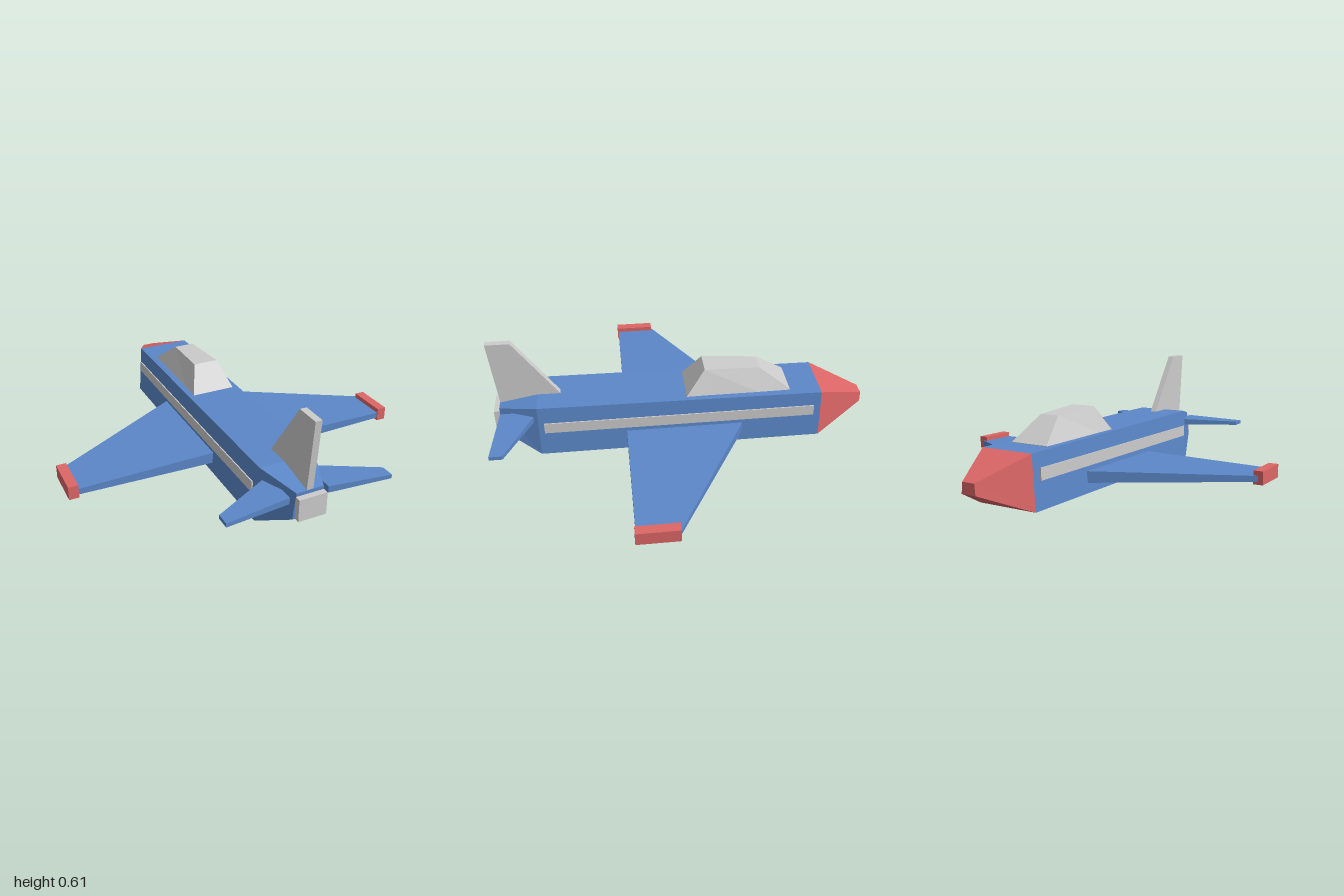
import * as THREE from 'three';

const paint = (name, color) => {
  const m = new THREE.MeshStandardMaterial({ color });
  m.name = name;
  return m;
};

// Flat-faced solid lofted through four-cornered rings, with both ends capped
function loft(rings) {
  const pos = [];
  const quad = (a, b, c, d) => pos.push(...a, ...b, ...c, ...a, ...c, ...d);
  for (let r = 0; r < rings.length - 1; r++) {
    const a = rings[r], b = rings[r + 1];
    for (let i = 0; i < 4; i++) {
      const j = (i + 1) % 4;
      quad(a[i], a[j], b[j], b[i]);
    }
  }
  quad(...[...rings[0]].reverse());
  quad(...rings[rings.length - 1]);
  const g = new THREE.BufferGeometry();
  g.setAttribute('position', new THREE.Float32BufferAttribute(pos, 3));
  g.computeVertexNormals();
  return g;
}

// Trapezoid across the body at z: bottom height and half width, top height and half width
const bodyRing = (z, yb, hb, yt, ht) => [[-hb, yb, z], [hb, yb, z], [ht, yt, z], [-ht, yt, z]];

// Rectangle across a wing at x: leading and trailing z, bottom and top y
const wingRing = (x, zf, zb, y0, y1) => [[x, y0, zb], [x, y0, zf], [x, y1, zf], [x, y1, zb]];

// Mirrored rings run in reverse order so faces still point outward
const wing = (rings, side) => {
  const r = rings.map(ring => ring.map(([x, y, z]) => [x * side, y, z]));
  return loft(side > 0 ? r : r.reverse());
};

export function createModel() {
  const blue = paint('blue', 0x5b87c8);
  const red = paint('red', 0xdd6666);
  const grey = paint('light grey', 0xcccccc);

  const model = new THREE.Group();
  model.name = 'jet';
  const add = (name, geometry, material) => {
    const mesh = new THREE.Mesh(geometry, material);
    mesh.name = name;
    model.add(mesh);
    return mesh;
  };
  const addBox = (name, material, w, h, d, x, y, z) =>
    add(name, new THREE.BoxGeometry(w, h, d), material).position.set(x, y, z);

  // Body, nose cone and exhaust
  const noseBase = bodyRing(-0.74, 0, 0.165, 0.27, 0.145);
  add('fuselage', loft([
    noseBase,
    bodyRing(0.77, 0, 0.165, 0.287, 0.145),
    bodyRing(0.97, 0.115, 0.085, 0.25, 0.07),
  ]), blue);
  add('nose', loft([bodyRing(-1, 0.115, 0.04, 0.17, 0.035), noseBase]), red);
  addBox('exhaust', grey, 0.145, 0.115, 0.05, 0, 0.175, 0.975);

  // Canopy
  add('canopy', loft([
    bodyRing(-0.575, 0.27, 0.105, 0.274, 0.104),
    bodyRing(-0.41, 0.27, 0.11, 0.395, 0.053),
    bodyRing(-0.115, 0.27, 0.115, 0.41, 0.066),
    bodyRing(-0.015, 0.27, 0.117, 0.279, 0.116),
  ]), grey);

  // Tail fin, extruded across x
  const outline = [[0.645, 0.28], [0.875, 0.61], [1, 0.61], [0.965, 0.22], [0.7, 0.22]];
  const finShape = new THREE.Shape(outline.map(([z, y]) => new THREE.Vector2(-z, y)));
  const fin = new THREE.ExtrudeGeometry(finShape, { depth: 0.034, bevelEnabled: false });
  fin.translate(0, 0, -0.017).rotateY(Math.PI / 2);
  add('tailFin', fin, grey);

  // Parts on both sides
  for (const [label, s] of [['left', 1], ['right', -1]]) {
    add(label + 'Wing', wing([
      wingRing(0.14, -0.323, 0.31, 0.052, 0.112),
      wingRing(0.89, 0.1, 0.31, 0.07, 0.1),
    ], s), blue);
    addBox(label + 'WingTip', red, 0.05, 0.07, 0.214, s * 0.89, 0.09, 0.208);
    add(label + 'Tailplane', wing([
      wingRing(0.1, 0.77, 0.965, 0.2, 0.234),
      wingRing(0.425, 0.93, 0.997, 0.203, 0.223),
    ], s), blue);
    addBox(label + 'Stripe', grey, 0.006, 0.06, 1.44, s * 0.164, 0.17, 0.02);
  }
  return model;
}
